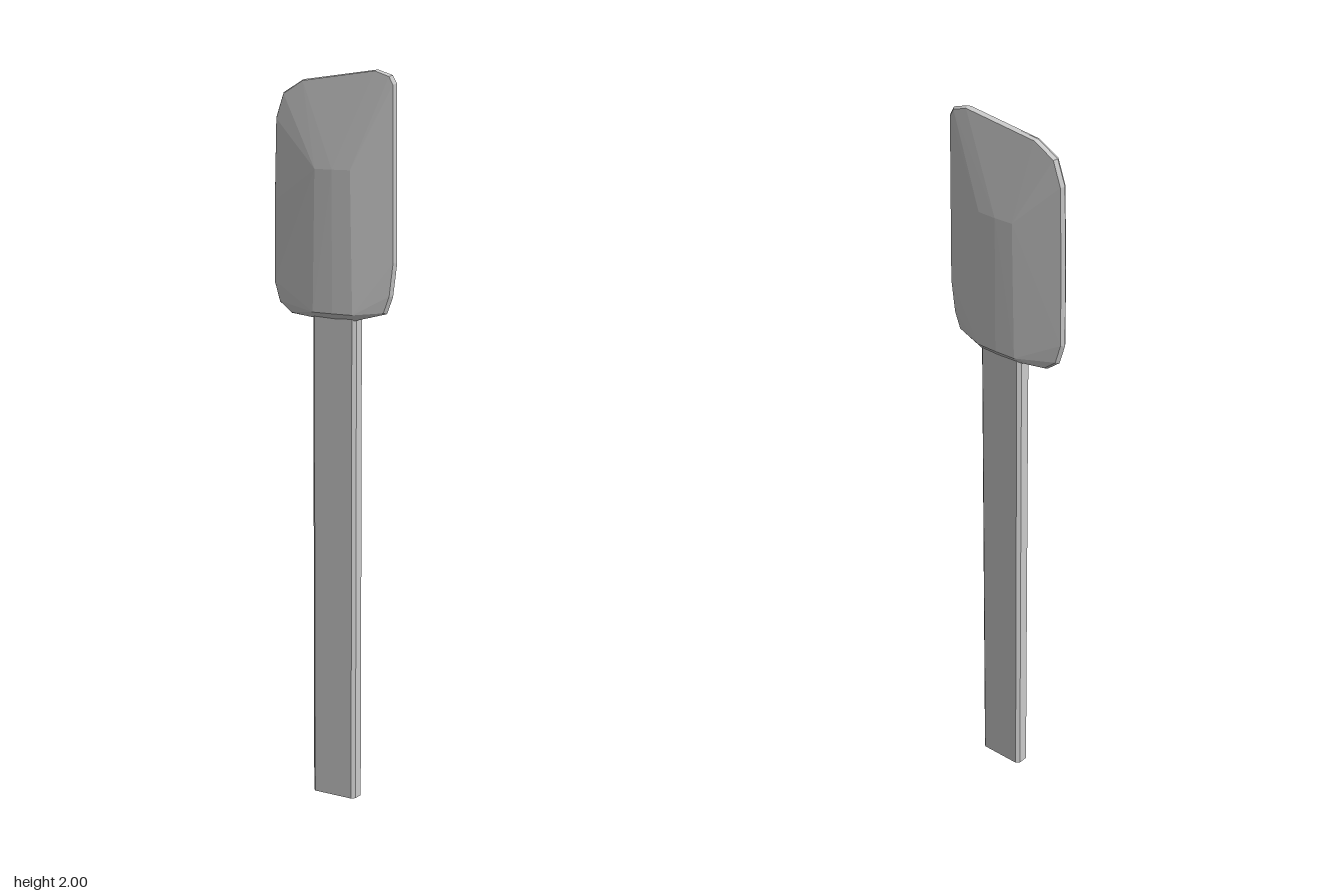
import * as THREE from 'three';
import { ConvexGeometry } from 'three/addons/geometries/ConvexGeometry.js';

const material = new THREE.MeshStandardMaterial({ color: 0xcccccc, flatShading: true });

// Flat bar with chamfered long edges
function createHandle() {
  const x0 = -0.062, x1 = 0.074, d = 0.023, c = 0.009;
  const section = new THREE.Shape([
    [x0 + c, -d], [x1 - c, -d], [x1, -d + c], [x1, d - c],
    [x1 - c, d], [x0 + c, d], [x0, d - c], [x0, -d + c],
  ].map(([x, y]) => new THREE.Vector2(x, y)));
  const geometry = new THREE.ExtrudeGeometry(section, { depth: 1.38, bevelEnabled: false });
  geometry.rotateX(-Math.PI / 2);
  const mesh = new THREE.Mesh(geometry, material);
  mesh.name = 'handle';
  return mesh;
}

// Slanted blade: thin rounded rim swelling to a thick central spine
function createBlade() {
  const outline = [
    [-0.195, 1.43], [-0.178, 1.375], [-0.14, 1.346], [0.075, 1.342],
    [0.16, 1.364], [0.178, 1.41], [0.19, 1.5], [0.186, 1.965],
    [0.174, 1.986], [0.13, 2.0], [-0.1, 1.972], [-0.163, 1.937],
    [-0.187, 1.87], [-0.193, 1.65],
  ];
  const points = [];
  for (const [x, y] of outline) {
    points.push(new THREE.Vector3(x, y, 0));
    for (const side of [-1, 1]) {
      points.push(new THREE.Vector3(x * 0.965, 1.66 + (y - 1.66) * 0.99, side * 0.01));
    }
  }
  // Spine rows: y, half width, half thickness
  const spine = [[1.341, 0.06, 0.019], [1.358, 0.062, 0.033], [1.74, 0.055, 0.034]];
  for (const [y, w, d] of spine) {
    for (const side of [-1, 1]) {
      for (const k of [-1, 1]) points.push(new THREE.Vector3(0.01 + k * w, y, side * d));
      points.push(new THREE.Vector3(0.01, y, side * (d + 0.002)));
    }
  }
  const mesh = new THREE.Mesh(new ConvexGeometry(points), material);
  mesh.name = 'blade';
  return mesh;
}

export function createModel() {
  const group = new THREE.Group();
  group.name = 'spatula';
  group.add(createHandle(), createBlade());
  return group;
}
